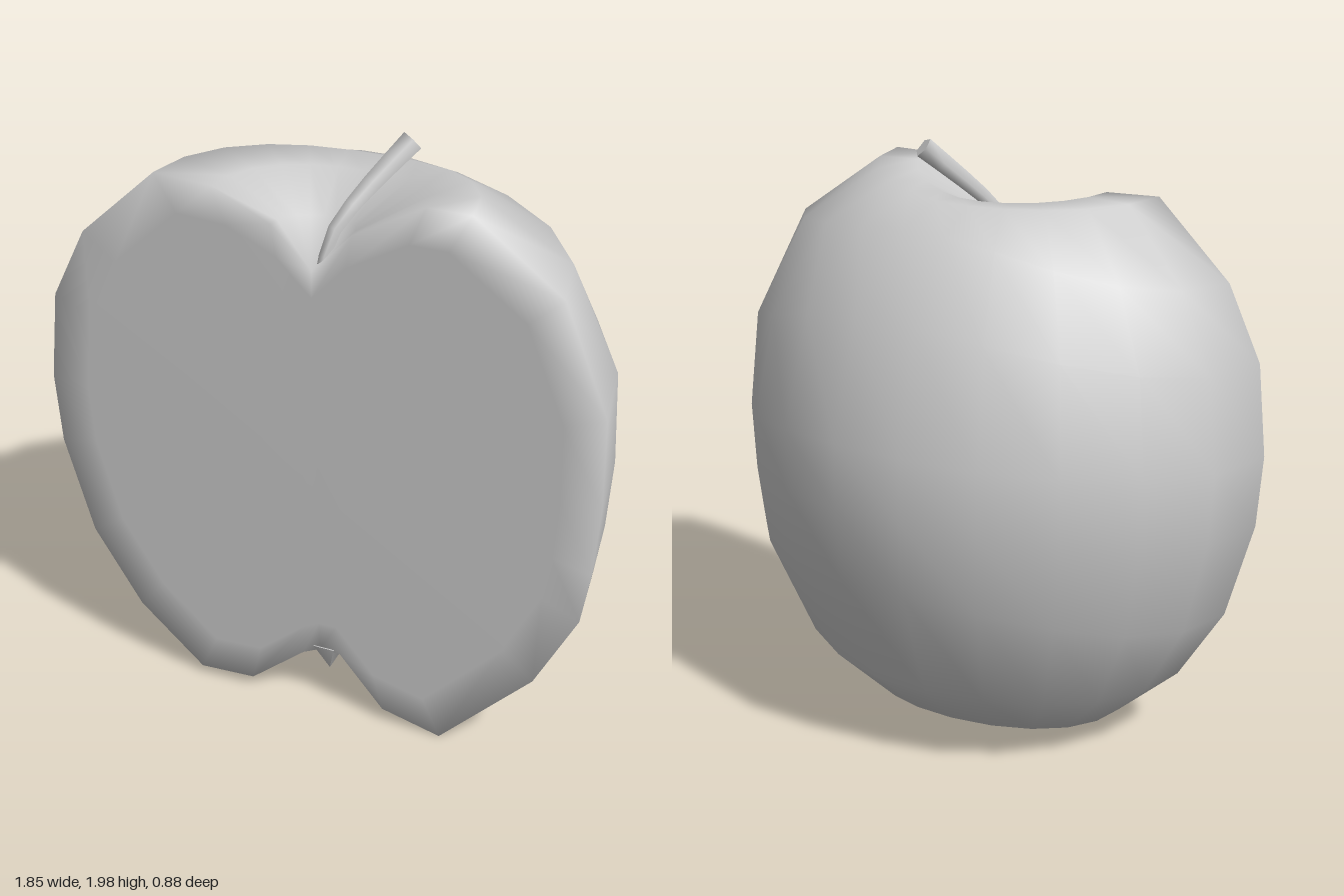
import * as THREE from 'three';
import { mergeVertices } from 'three/addons/utils/BufferGeometryUtils.js';

// Meridian profiles [radius, height], from the top dimple down to the bottom hollow
const LEFT = [[0, 1.62], [0.13, 1.76], [0.36, 1.89], [0.5, 1.89], [0.78, 1.68], [0.92, 1.32], [0.92, 1.02],
  [0.9, 0.78], [0.87, 0.6], [0.73, 0.33], [0.42, 0.01], [0.22, 0.06], [0.07, 0.24], [0, 0.24]];
const BACK = [[0, 1.62], [0.14, 1.74], [0.3, 1.83], [0.41, 1.84], [0.56, 1.78], [0.77, 1.54], [0.87, 1.16],
  [0.87, 0.95], [0.85, 0.7], [0.69, 0.3], [0.49, 0.11], [0.28, 0.1], [0.08, 0.23], [0, 0.24]];
const RIGHT = [[0, 1.62], [0.13, 1.75], [0.32, 1.84], [0.51, 1.85], [0.77, 1.61], [0.89, 1.37], [0.925, 1.07],
  [0.91, 0.83], [0.82, 0.5], [0.66, 0.24], [0.44, 0.04], [0.25, 0.05], [0.06, 0.21], [0, 0.24]];

// The cut plane leans back slightly toward the bottom
const cutZ = (y) => 0.425 + 0.015 * (y - 1);

function halfBody(columns) {
  const rows = BACK.length, pos = [], index = [];
  const at = (i, j) => i * rows + j;

  // Round skin: blend the profiles from left, around the back, to right
  for (let i = 0; i <= columns; i++) {
    const a = (i / columns) * Math.PI;
    const side = Math.cos(a) > 0 ? LEFT : RIGHT;
    const w = Math.cos(a) ** 2;
    for (let j = 0; j < rows; j++) {
      const r = THREE.MathUtils.lerp(BACK[j][0], side[j][0], w);
      const y = THREE.MathUtils.lerp(BACK[j][1], side[j][1], w);
      pos.push(r * Math.cos(a), y, cutZ(y) - r * Math.sin(a));
    }
  }
  for (let i = 0; i < columns; i++) {
    for (let j = 0; j < rows - 1; j++) {
      const a = at(i, j), b = at(i, j + 1), c = at(i + 1, j + 1), d = at(i + 1, j);
      if (j < rows - 2) index.push(a, b, c);
      else index.push(a, b, d);
      if (j > 0 && j < rows - 2) index.push(a, c, d);
    }
  }

  // Cut face: rim loop, an inset loop, then a fan to the middle
  const rim = [];
  for (let j = 0; j < rows; j++) rim.push(at(0, j));
  for (let j = rows - 2; j > 0; j--) rim.push(at(columns, j));
  const inner = pos.length / 3, n = rim.length;
  for (const v of rim) {
    const x = pos[v * 3] * 0.86, y = 1 + (pos[v * 3 + 1] - 1) * 0.86;
    pos.push(x, y, cutZ(y) + 0.004);
  }
  const middle = pos.length / 3;
  pos.push(0, 1, cutZ(1) + 0.004);
  for (let k = 0; k < n; k++) {
    const m = (k + 1) % n;
    index.push(rim[k], inner + k, rim[m], rim[m], inner + k, inner + m);
    index.push(middle, inner + m, inner + k);
  }

  const g = new THREE.BufferGeometry();
  g.setAttribute('position', new THREE.Float32BufferAttribute(pos, 3));
  g.setIndex(index);
  const welded = mergeVertices(g, 1e-4);
  welded.computeVertexNormals();
  return welded;
}

// Bent stalk, thin at its root and closed at the tip
function stalk() {
  const path = new THREE.CatmullRomCurve3([
    new THREE.Vector3(0.015, 1.58, 0.42), new THREE.Vector3(0.045, 1.73, 0.38),
    new THREE.Vector3(0.11, 1.84, 0.29), new THREE.Vector3(0.21, 1.968, 0.175)]);
  const steps = 6, sides = 5;
  const g = new THREE.TubeGeometry(path, steps, 0.036, sides, false);
  const p = g.attributes.position, v = new THREE.Vector3();
  for (let i = 0; i <= steps; i++) {
    const centre = path.getPointAt(i / steps);
    for (let s = 0; s <= sides; s++) {
      const k = i * (sides + 1) + s;
      v.fromBufferAttribute(p, k).sub(centre).multiplyScalar(0.4 + 0.6 * i / steps).add(centre);
      p.setXYZ(k, v.x, v.y, v.z);
    }
  }
  g.computeVertexNormals();

  const first = steps * (sides + 1), cap = [];
  for (let s = 0; s < sides; s++) {
    const tip = path.getPointAt(1);
    cap.push(tip.x, tip.y, tip.z);
    for (const k of [first + s, first + s + 1]) cap.push(p.getX(k), p.getY(k), p.getZ(k));
  }
  const capGeometry = new THREE.BufferGeometry();
  capGeometry.setAttribute('position', new THREE.Float32BufferAttribute(cap, 3));
  capGeometry.computeVertexNormals();
  return [g, capGeometry];
}

export function createModel() {
  const group = new THREE.Group();
  group.name = 'halfApple';
  const material = new THREE.MeshStandardMaterial({ color: 0xcccccc });
  const doubleSided = new THREE.MeshStandardMaterial({ color: 0xcccccc, side: THREE.DoubleSide });
  const add = (name, geometry, mat) => {
    const mesh = new THREE.Mesh(geometry, mat);
    mesh.name = name;
    group.add(mesh);
    return mesh;
  };

  add('appleBody', halfBody(11), material);

  const [stem, tip] = stalk();
  add('stem', stem, doubleSided);
  add('stemTip', tip, doubleSided);

  // Small dried blossom point in the bottom hollow
  const blossom = add('blossomEnd', new THREE.ConeGeometry(0.06, 0.11, 5), material);
  blossom.rotation.x = Math.PI;
  blossom.position.set(0.015, 0.195, 0.37);

  return group;
}
